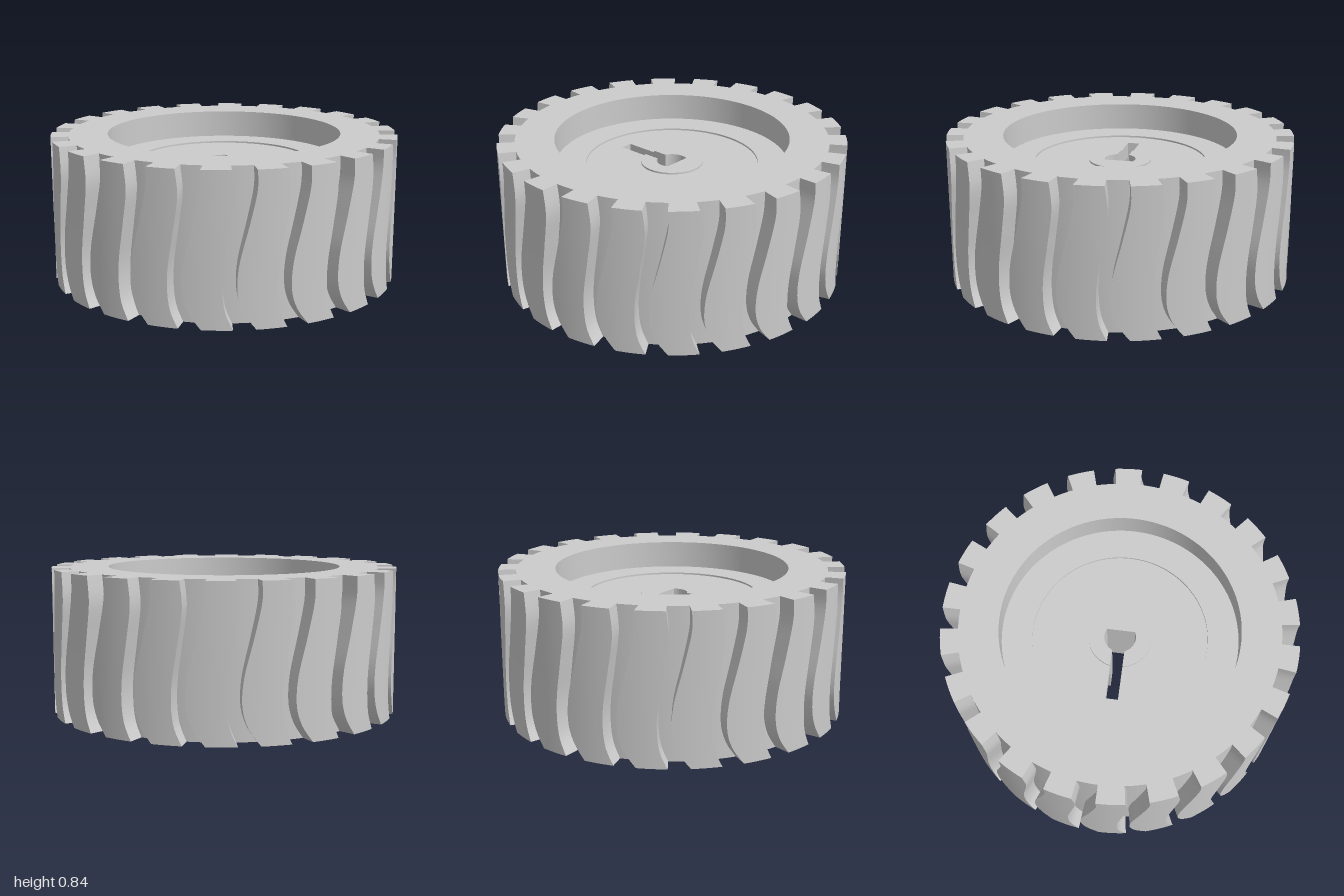
import * as THREE from 'three';
import { toCreasedNormals } from 'three/addons/utils/BufferGeometryUtils.js';

const HEIGHT = 0.84;
const TREADS = 22;
const LUGS = 10;
const SLOT = 0.035; // half width of the key slot
const BORE = 0.09;
const material = new THREE.MeshStandardMaterial({ color: 0xcccccc });

function addMesh(parent, name, geometry) {
  const mesh = new THREE.Mesh(toCreasedNormals(geometry, 0.5), material);
  mesh.name = name;
  parent.add(mesh);
  return mesh;
}

// Edge curve of a groove: angle around the wheel as a function of height
function edgeCurve(points) {
  const curve = new THREE.SplineCurve(points.map(([a, y]) => new THREE.Vector2(a, y)));
  const samples = curve.getPoints(200);
  return (y) => {
    const i = samples.findIndex((p) => p.y >= y - 1e-6);
    if (i <= 0) return samples[i < 0 ? samples.length - 1 : 0].x;
    const a = samples[i - 1], b = samples[i];
    return a.x + (b.x - a.x) * Math.min(1, (y - a.y) / (b.y - a.y));
  };
}
const grooveLeft = edgeCurve([[0.02, 0], [-0.02, 0.09], [-0.035, 0.2], [-0.03, 0.33], [0, 0.52], [0.025, 0.7], [0.012, HEIGHT]]);
const grooveRight = edgeCurve([[0.14, 0], [0.075, 0.09], [0.042, 0.2], [0.05, 0.35], [0.1, 0.55], [0.14, 0.73], [0.14, HEIGHT]]);

// One wavy tread block, filling the space between two grooves
function treadGeometry() {
  const geometry = new THREE.BoxGeometry(1, 1, 1, 6, 28, 1);
  const pos = geometry.attributes.position;
  for (let i = 0; i < pos.count; i++) {
    const y = (pos.getY(i) + 0.5) * HEIGHT;
    const start = grooveRight(y);
    const end = grooveLeft(y) + (2 * Math.PI) / TREADS;
    const angle = start + (end - start) * (pos.getX(i) + 0.5);
    const radius = pos.getZ(i) > 0 ? 1 : 0.895;
    pos.setXYZ(i, Math.sin(angle) * radius, y, Math.cos(angle) * radius);
  }
  geometry.computeVertexNormals();
  return geometry;
}

// Traces the keyed bore, starting and ending at the slot
function traceBore(path) {
  const slotAngle = Math.PI - Math.asin(SLOT / BORE);
  const flatAngle = Math.acos(0.04 / BORE);
  path.lineTo(BORE * Math.cos(slotAngle), SLOT);
  path.absarc(0, 0, BORE, slotAngle, flatAngle, true);
  path.absarc(0, 0, BORE, -flatAngle, -slotAngle, true);
}

function extrudeUp(shape, bottom, top) {
  return new THREE.ExtrudeGeometry(shape, { depth: top - bottom, bevelEnabled: false, curveSegments: 48 })
    .rotateX(-Math.PI / 2)
    .translate(0, bottom, 0);
}

export function createModel() {
  const wheel = new THREE.Group();
  wheel.name = 'wheel';

  // Tyre carcass with the stepped inner wall
  const profile = [
    [0.675, 0], [0.9, 0], [0.9, HEIGHT], [0.675, HEIGHT], [0.675, 0.68], [0.5, 0.68], [0.5, 0.6],
    [0.47, 0.6], [0.47, 0.37], [0.61, 0.37], [0.61, 0.205], [0.675, 0.205], [0.675, 0],
  ].map(([r, y]) => new THREE.Vector2(r, y));
  addMesh(wheel, 'carcass', new THREE.LatheGeometry(profile, 110));

  // Tread blocks
  const treads = new THREE.Group();
  treads.name = 'treads';
  wheel.add(treads);
  const tread = treadGeometry();
  for (let i = 0; i < TREADS; i++) {
    addMesh(treads, 'treadBlock', tread).rotation.y = (i * 2 * Math.PI) / TREADS;
  }

  // Floor disc with the key slot cut through it
  const disc = new THREE.Shape();
  disc.absarc(0, 0, 0.5, 0, Math.PI * 2, false);
  const keyhole = new THREE.Path();
  keyhole.moveTo(-0.37, -SLOT);
  keyhole.lineTo(-0.37, SLOT);
  traceBore(keyhole);
  keyhole.closePath();
  disc.holes.push(keyhole);
  addMesh(wheel, 'floorDisc', extrudeUp(disc, 0.58, 0.67));

  // Hub sleeve, split open by the slot
  const hubRadius = 0.18;
  const split = Math.PI - Math.asin(SLOT / hubRadius);
  const hub = new THREE.Shape();
  hub.absarc(0, 0, hubRadius, -split, split, false);
  traceBore(hub);
  hub.closePath();
  addMesh(wheel, 'hub', extrudeUp(hub, 0.3, 0.68));

  // Ring of lugs on the underside, narrowing outward
  const lugShape = new THREE.Shape([
    [-0.075, -0.44], [-0.075, -0.53], [-0.045, -0.61], [0.045, -0.61], [0.075, -0.53], [0.075, -0.44],
  ].map(([x, y]) => new THREE.Vector2(x, y)));
  const lug = extrudeUp(lugShape, 0.03, 0.435);
  const lugs = new THREE.Group();
  lugs.name = 'lugs';
  wheel.add(lugs);
  for (let i = 0; i < LUGS; i++) {
    addMesh(lugs, 'lug', lug).rotation.y = ((i + 0.5) * 2 * Math.PI) / LUGS;
  }
  return wheel;
}
